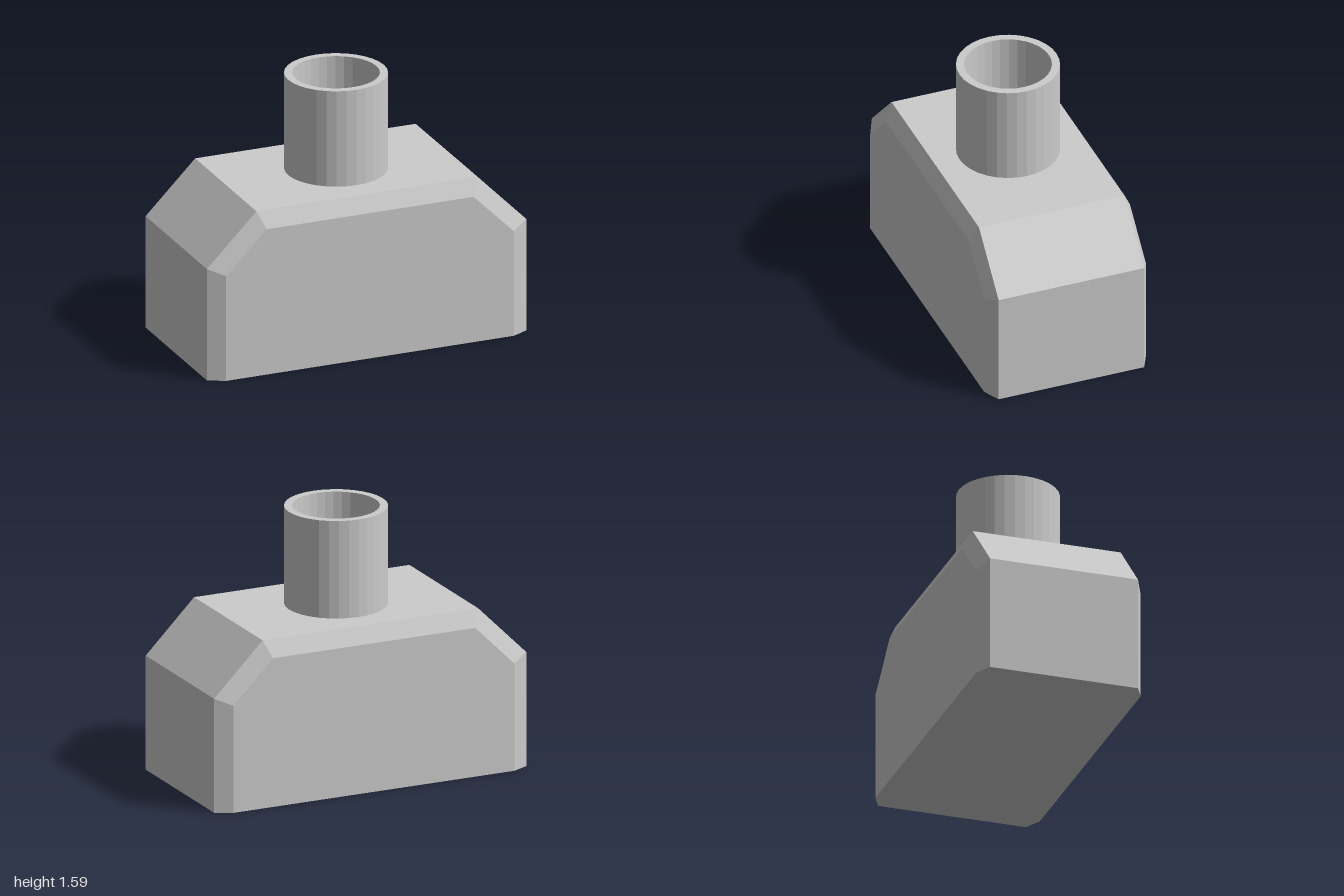
import * as THREE from 'three';
import { ConvexGeometry } from 'three/addons/geometries/ConvexGeometry.js';

// Right half of a cut-corner outline, mirrored to the left
const outline = (halfWidth, shoulder, top, z) =>
  [[halfWidth, 0], [halfWidth, shoulder], [shoulder, top]].flatMap(([x, y]) =>
    [1, -1].map((side) => new THREE.Vector3(side * x, y, z)));

export function createModel() {
  const group = new THREE.Group();
  const material = new THREE.MeshStandardMaterial({ color: 0xcccccc, flatShading: true });

  // Body: full outline between the bevels, inset outline on front and back
  const points = [1, -1].flatMap((s) => [
    ...outline(1, 0.69, 1, s * 0.45),
    ...outline(0.9, 0.648, 0.9, s * 0.5),
  ]);
  const body = new THREE.Mesh(new ConvexGeometry(points), material);
  body.name = 'body';
  group.add(body);

  // Hollow neck standing on the flat top
  const profile = [[0.3, 1], [0.3, 1.59], [0.253, 1.59], [0.253, 1]]
    .map(([r, y]) => new THREE.Vector2(r, y));
  const neck = new THREE.Mesh(new THREE.LatheGeometry(profile, 32), material);
  neck.name = 'neck';
  group.add(neck);

  return group;
}
